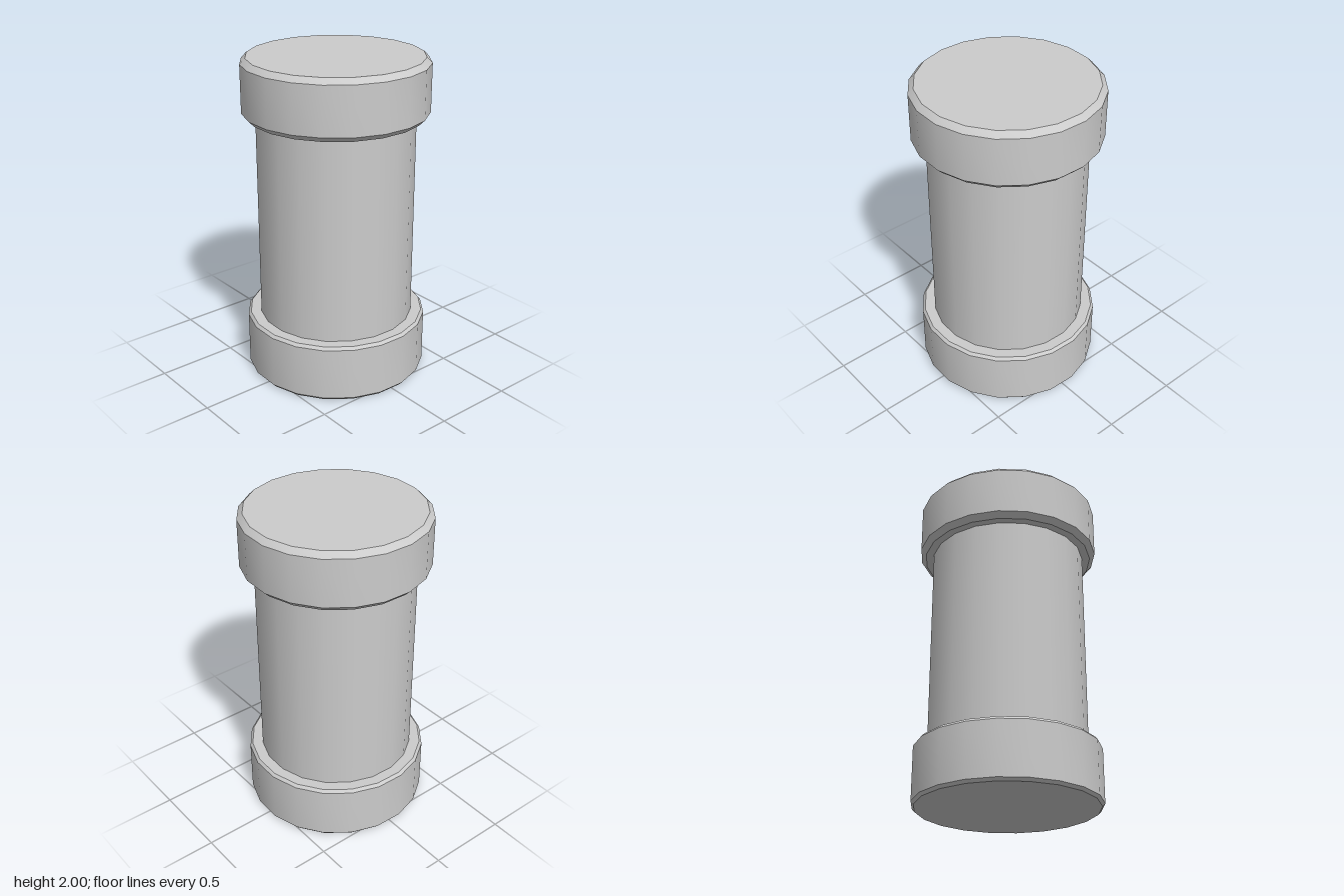
import * as THREE from 'three';
import { toCreasedNormals } from 'three/addons/utils/BufferGeometryUtils.js';

const SIDES = 20;
const TURN = THREE.MathUtils.degToRad(7.3);
const CAP_RADIUS = 0.563;
const BODY_RADIUS = 0.481;

const material = new THREE.MeshStandardMaterial({ color: 0xcccccc });

// Closed chamfered disc from y0 to y1; edges stay sharp, the round side smooth
function chamferedDisc(name, y0, y1, radius, chamfer, rise) {
  const profile = [
    [0, y0],
    [radius - chamfer, y0],
    [radius, y0 + rise],
    [radius, y1 - rise],
    [radius - chamfer, y1],
    [0, y1],
  ].map(([x, y]) => new THREE.Vector2(x, y));
  const geometry = new THREE.LatheGeometry(profile, SIDES, TURN);
  const mesh = new THREE.Mesh(toCreasedNormals(geometry, THREE.MathUtils.degToRad(30)), material);
  mesh.name = name;
  return mesh;
}

export function createModel() {
  const group = new THREE.Group();
  group.name = 'column';

  // Heavy collars at both ends; the upper one has the wider chamfer
  group.add(chamferedDisc('baseCollar', 0, 0.365, CAP_RADIUS, 0.016, 0.018));
  group.add(chamferedDisc('topCollar', 1.64, 2, CAP_RADIUS, 0.033, 0.033));

  // Shaft, sunk slightly into both collars
  const shaft = new THREE.Mesh(
    new THREE.CylinderGeometry(BODY_RADIUS, BODY_RADIUS, 1.32, SIDES, 1, true, TURN),
    material
  );
  shaft.name = 'shaft';
  shaft.position.y = 1.0025;
  group.add(shaft);

  return group;
}
